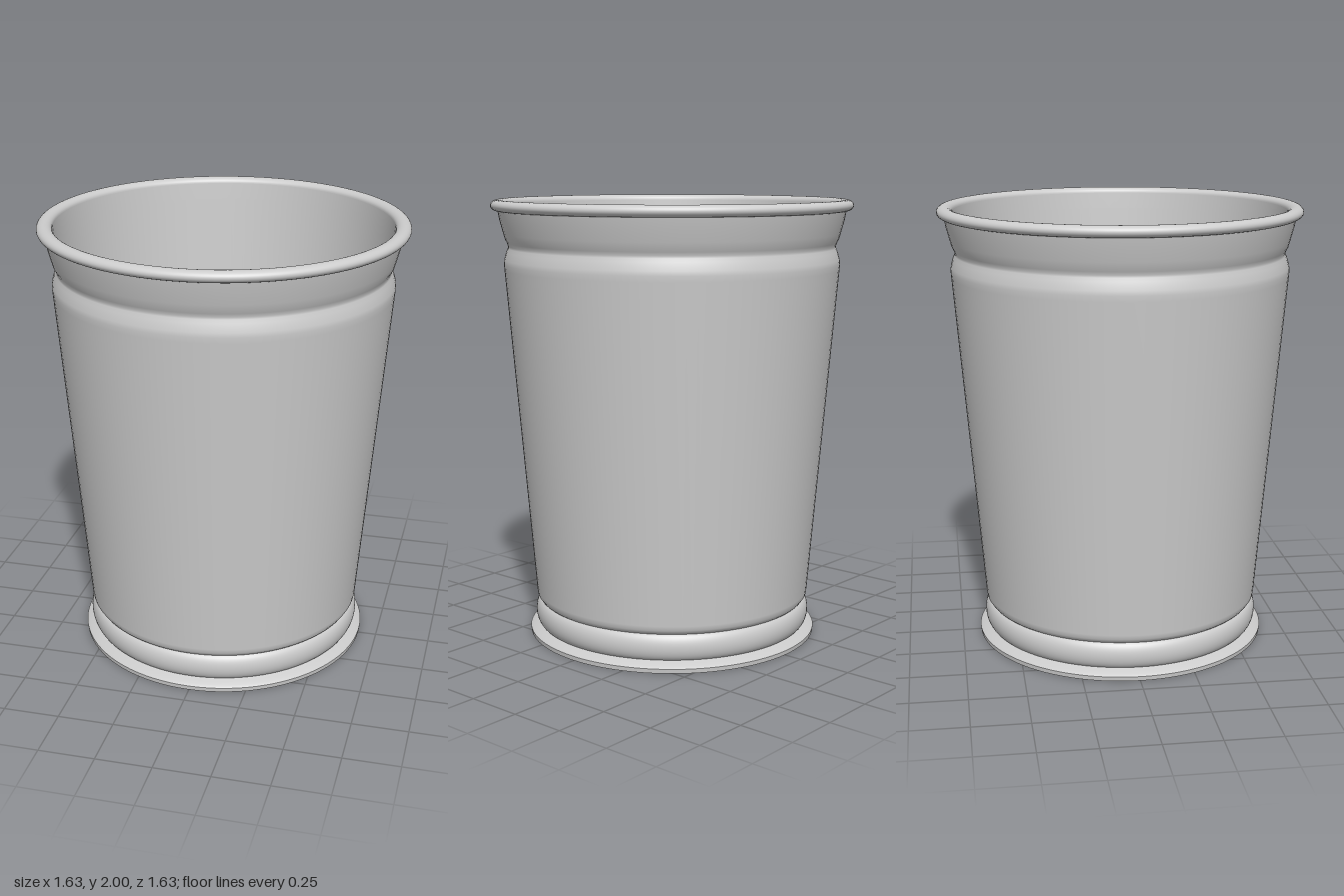
import * as THREE from 'three';

const SIDES = 96;

export function createModel() {
  const group = new THREE.Group();
  const metal = new THREE.MeshStandardMaterial({ color: 0xcccccc });
  metal.name = 'silver grey';

  // Revolve a profile of [radius, height] pairs around the y axis
  const turn = (name, points) => {
    const profile = points.map(([r, y]) => new THREE.Vector2(r, y));
    const mesh = new THREE.Mesh(new THREE.LatheGeometry(profile, SIDES), metal);
    mesh.name = name;
    group.add(mesh);
    return mesh;
  };
  // Points on an elliptical arc, angles in degrees
  const arc = (r, y, rx, ry, from, to, steps) =>
    Array.from({ length: steps + 1 }, (_, i) => {
      const a = THREE.MathUtils.degToRad(from + ((to - from) * i) / steps);
      return [r + rx * Math.cos(a), y + ry * Math.sin(a)];
    });

  // Flat underside and flared foot
  turn('base', [[0, 0], [0.665, 0]]);
  turn('footEdge', [[0.665, 0], [0.667, 0.02]]);
  turn('foot', [[0.667, 0.02], [0.655, 0.029], [0.635, 0.036], [0.615, 0.045]]);

  // Rounded band above the foot
  turn('lowerBand', arc(0.605, 0.1, 0.035, 0.062, -75, 75, 14));

  // Tapered wall with a groove and a flared collar
  turn('wall', [
    [0.614, 0.158], [0.623, 0.166], [0.632, 0.18], [0.635, 0.2], [0.757, 1.69],
    [0.759, 1.715], [0.757, 1.735], [0.747, 1.77], [0.74, 1.785], [0.739, 1.795],
    [0.744, 1.81], [0.752, 1.825], [0.759, 1.85], [0.775, 1.91], [0.784, 1.96],
  ]);

  // Rolled rim
  turn('rim', arc(0.781, 1.975, 0.034, 0.025, -90, 180, 24));

  // Inner wall down to the filling
  turn('innerWall', [[0.747, 1.975], [0.741, 1.9], [0.677, 1.05]]);

  // Gently uneven surface inside the cup
  const radii = Array.from({ length: 21 }, (_, i) => [0.68 * (1 - i / 20), 1.05]);
  const floor = turn('innerFloor', radii);
  const pos = floor.geometry.attributes.position;
  for (let i = 0; i < pos.count; i++) {
    const x = pos.getX(i), z = pos.getZ(i);
    const fade = 1 - (x * x + z * z) / 0.4624;
    pos.setY(i, 1.05 + 0.02 * fade * (Math.sin(6 * x + 2 * z) + Math.cos(5 * z - 3 * x)));
  }
  floor.geometry.computeVertexNormals();

  return group;
}
